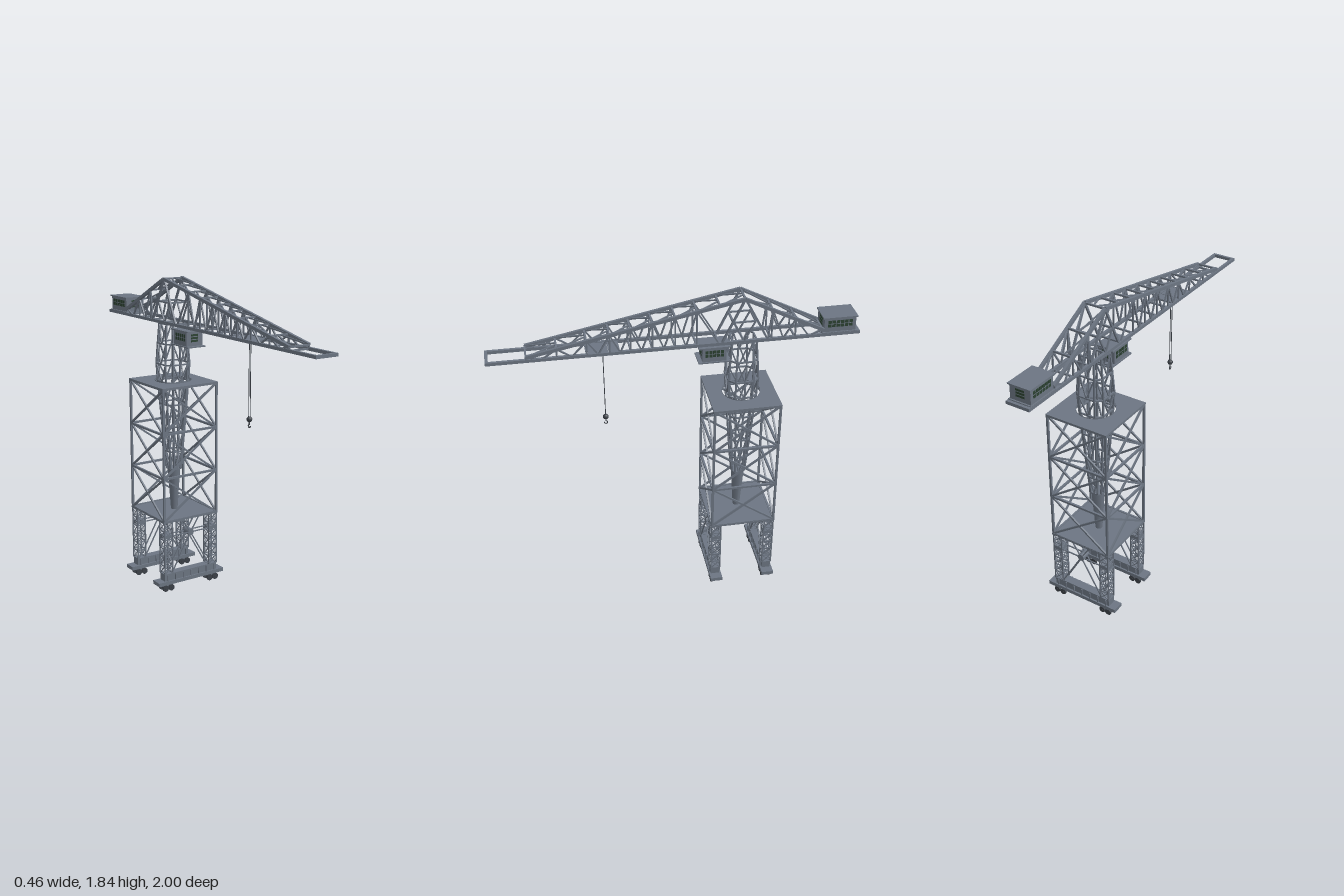
import * as THREE from 'three';
import { mergeGeometries } from 'three/addons/utils/BufferGeometryUtils.js';

const STEEL = 0x6c7582, GLASS = 0x2c4232, DARK = 0x3c4148;
const ZT = -0.37; // tower axis
const V = (x, y, z) => new THREE.Vector3(x, y, z);
const signs = [-1, 1];

// square bar between two points
function bar(a, b, w = 0.008, h = w) {
  const d = b.clone().sub(a), len = d.length();
  const up = Math.abs(d.y) / len > 0.99 ? V(0, 0, 1) : V(0, 1, 0);
  const m = new THREE.Matrix4().lookAt(a, b, up);
  m.setPosition(a.clone().add(b).multiplyScalar(0.5));
  return new THREE.BoxGeometry(w, h, len).applyMatrix4(m);
}
const box = (w, h, d, x, y, z) => new THREE.BoxGeometry(w, h, d).translate(x, y, z);
// cylinder along z
const disc = (r, len, x, y, z, n = 16) =>
  new THREE.CylinderGeometry(r, r, len, n).rotateX(Math.PI / 2).translate(x, y, z);

function part(parent, name, geos, color = STEEL) {
  const geo = mergeGeometries(geos.map(g => (g.index ? g.toNonIndexed() : g)));
  const mesh = new THREE.Mesh(geo, new THREE.MeshStandardMaterial({ color, side: THREE.DoubleSide }));
  mesh.name = name;
  parent.add(mesh);
  return mesh;
}

// rectangular lattice column: posts, rings and crossed braces on four sides
function lattice(hx, hz, levels, post, ring, brace) {
  const out = [], c = [[-hx, -hz], [hx, -hz], [hx, hz], [-hx, hz]];
  c.forEach(([x, z], i) => {
    const [x2, z2] = c[(i + 1) % 4];
    out.push(bar(V(x, levels[0], z), V(x, levels.at(-1), z), post));
    levels.forEach((y, k) => {
      out.push(bar(V(x, y, z), V(x2, y, z2), ring));
      if (!k) return;
      const y0 = levels[k - 1];
      out.push(bar(V(x, y0, z), V(x2, y, z2), brace), bar(V(x2, y0, z2), V(x, y, z), brace));
    });
  });
  return out;
}

function buildBase(g) {
  const beams = [], wheels = [], legs = [], braces = [];
  const levels = [0, 1, 2, 3, 4, 5, 6].map(i => 0.11 + i * 0.054);
  for (const s of signs) {
    const z = s * 0.157;
    beams.push(box(0.37, 0.06, 0.05, 0, 0.08, z), box(0.46, 0.022, 0.07, 0, 0.056, z));
    for (let i = -3; i <= 3; i++) beams.push(box(0.006, 0.04, 0.064, i * 0.055, 0.085, z));
    for (const sx of signs) {
      // bogie frames with paired wheels
      beams.push(box(0.06, 0.02, 0.03, sx * 0.158, 0.036, z));
      for (const dx of [-0.02, 0.02]) {
        for (const dz of [-0.022, 0.022]) wheels.push(disc(0.019, 0.012, sx * 0.158 + dx, 0.02, z + dz));
        wheels.push(disc(0.006, 0.06, sx * 0.158 + dx, 0.02, z, 8));
      }
      legs.push(...lattice(0.027, 0.027, levels, 0.007, 0.005, 0.004)
        .map(l => l.translate(sx * 0.157, 0, z)));
      // portal bracing around a central hub
      for (const dz of [-0.022, 0.022]) {
        const hub = V(0, 0.343, z + dz);
        braces.push(bar(hub, V(sx * 0.13, 0.343, z + dz), 0.006),
          bar(hub, V(sx * 0.13, 0.115, z + dz), 0.006),
          bar(hub, V(sx * 0.06, 0.435, z + dz), 0.006));
      }
      braces.push(box(0.055, 0.022, 0.058, sx * 0.157, 0.343, z));
    }
    braces.push(disc(0.021, 0.055, 0, 0.343, z, 12));
  }
  part(g, 'baseBeams', beams);
  part(g, 'wheels', wheels, DARK);
  part(g, 'portalLegs', legs);
  part(g, 'portalBraces', braces);
}

function buildFrame(g) {
  part(g, 'towerFrame', lattice(0.183, 0.183, [0.44, 0.702, 0.966, 1.23], 0.012, 0.012, 0.01));
  part(g, 'lowerDeck', [box(0.38, 0.01, 0.38, 0, 0.437, 0)]);
  // upper deck with a round opening for the mast
  const s = new THREE.Shape([[-1, -1], [1, -1], [1, 1], [-1, 1]]
    .map(([x, y]) => new THREE.Vector2(x * 0.19, y * 0.19)));
  s.holes.push(new THREE.Path().absarc(0, 0, 0.105, 0, Math.PI * 2, true));
  const deck = new THREE.ExtrudeGeometry(s, { depth: 0.01, bevelEnabled: false, curveSegments: 24 })
    .rotateX(-Math.PI / 2).translate(0, 1.228, 0);
  const collar = new THREE.CylinderGeometry(0.108, 0.108, 0.022, 32, 1, true).translate(0, 1.231, 0);
  part(g, 'upperDeck', [deck, collar]);
}

function buildMast(g) {
  // chamfered square section that swells to the knuckle, then narrows
  const section = [[1, -0.6], [1, 0.6], [0.6, 1], [-0.6, 1], [-1, 0.6], [-1, -0.6], [-0.6, -1], [0.6, -1]];
  const rings = [[0.70, 0.036], [0.81, 0.045], [0.935, 0.055], [1.10, 0.067],
    [1.235, 0.077], [1.34, 0.083], [1.46, 0.075], [1.575, 0.066]];
  const P = (i, k) => V(section[i % 8][0] * rings[k][1], rings[k][0], section[i % 8][1] * rings[k][1]);
  const out = [];
  for (let k = 0; k < rings.length; k++) {
    for (let i = 0; i < 8; i++) {
      out.push(bar(P(i, k), P(i + 1, k), 0.008));
      if (k === rings.length - 1) continue;
      out.push(bar(P(i, k), P(i, k + 1), 0.009));
      if (i % 2) continue;
      const mid = P(i, k).add(P(i + 1, k)).multiplyScalar(0.5);
      out.push(bar(mid, P(i, k + 1), 0.007), bar(mid, P(i + 1, k + 1), 0.007));
    }
  }
  part(g, 'mastLattice', out);
  part(g, 'mastFoot', [new THREE.CylinderGeometry(0.039, 0.02, 0.265, 8)
    .rotateY(Math.PI / 8).translate(0, 0.57, 0)]);
}

function buildJib(g) {
  const X = 0.061, LOW = 1.583;
  const top = z => z > -0.36 ? 1.832 - (z + 0.36) * 0.2 : 1.832 + (z + 0.36) * 0.505;
  const chords = [], web = [], cross = [];
  const front = [0.79, 0.63, 0.475, 0.355, 0.245, 0.13, 0.01, -0.105];
  const back = [-0.51, -0.64, -0.79];
  for (const s of signs) {
    const x = s * X, T = z => V(x, top(z), z), B = z => V(x, LOW, z);
    chords.push(box(0.016, 0.017, 2, x, LOW, 0),
      bar(T(0.79), T(-0.36), 0.016, 0.018), bar(T(-0.36), T(-0.8), 0.016, 0.018));
    for (const nodes of [front, back]) nodes.forEach((z, i) => {
      web.push(bar(T(z), B(z), 0.008));
      if (!i) return;
      const m = (nodes[i - 1] + z) / 2;
      web.push(bar(T(nodes[i - 1]), B(m), 0.008), bar(B(m), T(z), 0.008));
    });
    // A-frame below the peak
    const l = V(x, 1.70, -0.30), r = V(x, 1.70, -0.42);
    web.push(bar(T(-0.36), B(-0.24), 0.011), bar(T(-0.36), B(-0.49), 0.011), bar(l, r),
      bar(l, B(-0.36)), bar(r, B(-0.36)), bar(T(-0.105), B(-0.225)), bar(T(-0.51), B(-0.49)));
  }
  // cross ties and A-shaped wind bracing on the upper plane
  const ties = [...front, -0.225, -0.36, ...back];
  ties.forEach((z, i) => {
    cross.push(bar(V(-X, top(z), z), V(X, top(z), z), 0.01), bar(V(-X, LOW, z), V(X, LOW, z), 0.009));
    if (i) for (const s of signs) {
      const p = ties[i - 1];
      cross.push(bar(V(s * 0.008, top(z), z), V(s * X, top(p), p), 0.007));
    }
  });
  for (const z of [-0.992, 0.992]) cross.push(box(0.138, 0.017, 0.016, 0, LOW, z));
  for (const z of [-0.3, -0.42]) cross.push(bar(V(-X, 1.70, z), V(X, 1.70, z), 0.01));
  part(g, 'jibChords', chords);
  part(g, 'jibWeb', web);
  part(g, 'jibCrossBracing', cross);
}

// cabin with floor, roof and window rows on all sides
function cabin(g, name, w, d, y0, y1, z, over, panes) {
  const cab = new THREE.Group(), h = y1 - y0, y = (y0 + y1) / 2, glass = [], bars = [];
  cab.name = name;
  part(cab, 'walls', [box(w, h, d, 0, y, z)]);
  part(cab, 'roofAndFloor', [box(w + 0.014, 0.007, d + over, 0, y1, z), box(w + 0.014, 0.007, d + over, 0, y0, z)]);
  const step = d * 0.8 / panes;
  for (const s of signs) {
    for (let i = 0; i < panes; i++)
      glass.push(box(0.003, h * 0.45, step * 0.8, s * w / 2, y + h * 0.08, z + (i - (panes - 1) / 2) * step));
    bars.push(box(0.005, 0.003, d * 0.8, s * w / 2, y + h * 0.08, z));
    for (const r of [-1, 0, 1])
      glass.push(box(w * 0.42, h * 0.13, 0.003, 0, y + h * (0.06 + r * 0.19), z + s * d / 2));
  }
  part(cab, 'windows', glass, GLASS);
  part(cab, 'windowBars', bars);
  g.add(cab);
}

function buildHoist(g) {
  part(g, 'trolley', [box(0.12, 0.01, 0.055, 0, 1.583, 0.328), box(0.12, 0.01, 0.105, 0, 1.583, 0.415)]);
  part(g, 'hoistRopes', signs.map(s => bar(V(s * 0.005, 1.58, 0.387), V(s * 0.005, 1.16, 0.387), 0.003)), DARK);
  const hook = new THREE.TorusGeometry(0.009, 0.003, 6, 12, Math.PI * 1.4)
    .rotateZ(Math.PI * 0.95).rotateY(Math.PI / 2).translate(0, 1.115, 0.387);
  part(g, 'hookBlock', [new THREE.SphereGeometry(0.016, 12, 8).translate(0, 1.152, 0.387),
    bar(V(0, 1.15, 0.387), V(0, 1.122, 0.387), 0.005), hook], DARK);
}

export function createModel() {
  const crane = new THREE.Group(), tower = new THREE.Group();
  crane.name = 'towerCrane';
  tower.name = 'tower';
  tower.position.z = ZT;
  crane.add(tower);
  buildBase(tower);
  buildFrame(tower);
  buildMast(tower);
  buildJib(crane);
  cabin(crane, 'operatorCab', 0.106, 0.13, 1.468, 1.555, -0.205, 0.045, 5);
  cabin(crane, 'machineHouse', 0.122, 0.175, 1.592, 1.678, -0.887, 0.016, 6);
  part(crane, 'machinePlatform', [box(0.125, 0.008, 0.2, 0, 1.58, -0.895)]);
  buildHoist(crane);
  return crane;
}
